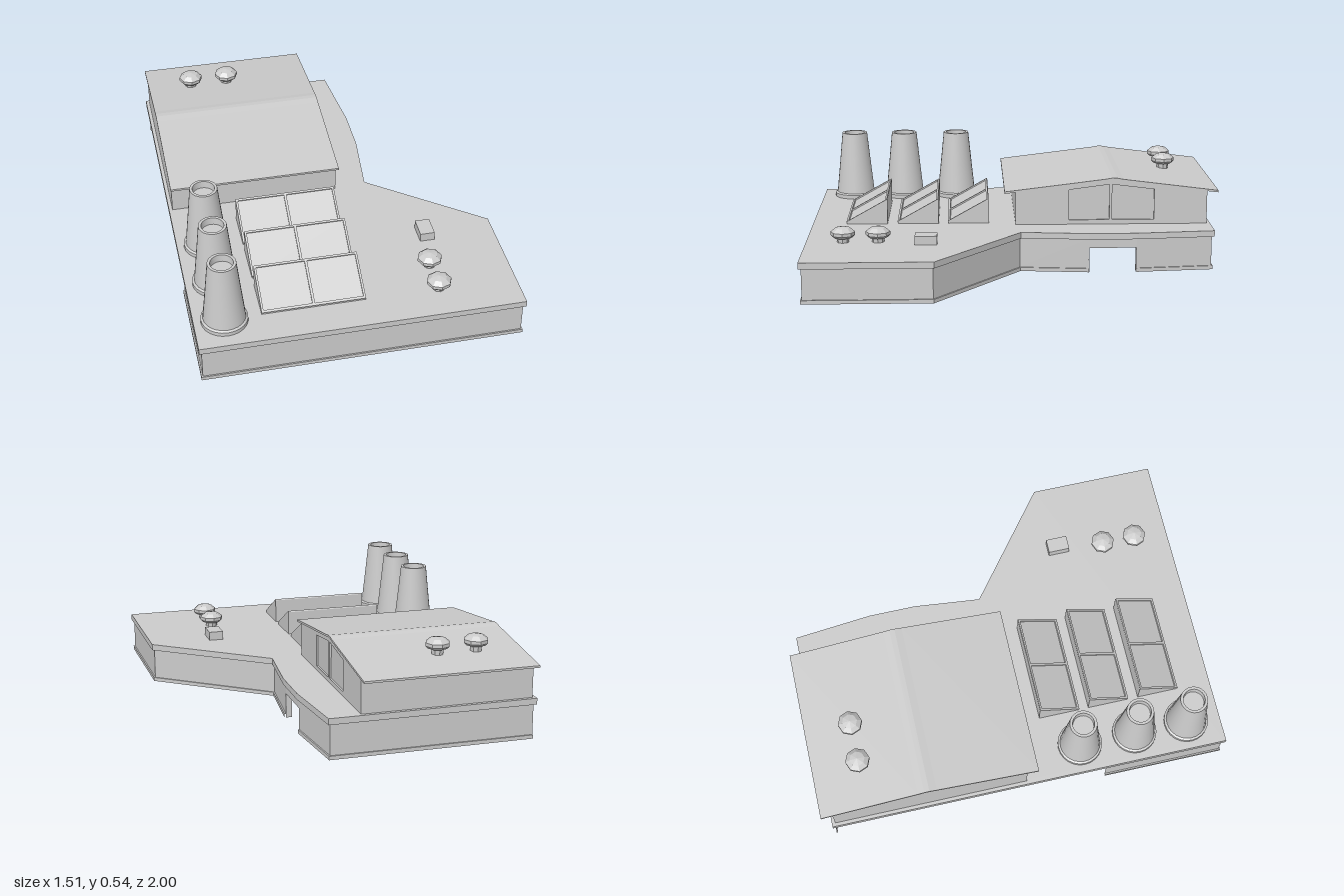
import * as THREE from 'three';
import { toCreasedNormals } from 'three/addons/utils/BufferGeometryUtils.js';

const smooth = new THREE.MeshStandardMaterial({ color: 0xcccccc, side: THREE.DoubleSide });
const flat = new THREE.MeshStandardMaterial({ color: 0xcccccc, side: THREE.DoubleSide, flatShading: true });

function add(parent, name, geometry, material = flat) {
  const mesh = new THREE.Mesh(geometry, material);
  mesh.name = name;
  parent.add(mesh);
  return mesh;
}

const polygon = (points) => new THREE.Shape(points.map(([x, y]) => new THREE.Vector2(x, y)));
const rect = (x0, y0, x1, y1) => [[x0, y0], [x1, y0], [x1, y1], [x0, y1]];

// Extrudes a side profile of [-z, y] points along x from x0 to x1.
function extrudeX(shape, x0, x1) {
  return new THREE.ExtrudeGeometry(shape, { depth: x1 - x0, bevelEnabled: false })
    .rotateY(Math.PI / 2).translate(x0, 0, 0);
}

// Sweeps a profile of [outward offset, y] along a plan path of [x, z] with mitred corners.
function sweep(path, profile, closed = false) {
  const n = path.length;
  const normal = (i) => {
    const a = path[(i + n) % n], b = path[(i + 1 + n) % n];
    return new THREE.Vector2(a[1] - b[1], b[0] - a[0]).normalize();
  };
  const mitre = path.map((p, i) => {
    const before = normal(closed || i > 0 ? i - 1 : 0);
    const after = normal(closed || i < n - 1 ? i : n - 2);
    const m = before.clone().add(after);
    return m.multiplyScalar(2 / m.lengthSq());
  });
  const point = (i, j) => {
    const [offset, y] = profile[j];
    return [path[i][0] + mitre[i].x * offset, y, path[i][1] + mitre[i].y * offset];
  };
  const positions = [];
  for (let i = 0; i < (closed ? n : n - 1); i++) {
    const k = (i + 1) % n;
    for (let j = 0; j < profile.length - 1; j++) {
      const a = point(i, j), b = point(k, j), c = point(k, j + 1), d = point(i, j + 1);
      positions.push(...a, ...b, ...c, ...a, ...c, ...d);
    }
  }
  const geometry = new THREE.BufferGeometry();
  geometry.setAttribute('position', new THREE.Float32BufferAttribute(positions, 3));
  geometry.computeVertexNormals();
  return geometry;
}

// Lower storey: walls with a skirting, an entrance, a cornice and a flat deck
function buildBase() {
  const base = new THREE.Group();
  base.name = 'base';
  const front = [[-0.745, 0.988], [0.745, 0.988], [0.745, 0.395], [0.222, -0.015], [0.257, -0.35]];
  const back = [[0.257, -0.58], [0.222, -0.95], [-0.745, -0.95]];
  const wall = [[0.007, 0], [0.007, 0.018], [0, 0.018], [0, 0.165]];
  add(base, 'frontWalls', sweep([[-0.745, 0.4], ...front], wall));
  add(base, 'backWalls', sweep(back, wall));
  add(base, 'entranceLintel', sweep([front[4], back[0]], [[0, 0.12], [0, 0.165]]));
  // Entrance reveals
  for (const z of [-0.35, -0.58]) {
    add(base, 'entranceReveal', new THREE.BoxGeometry(0.03, 0.12, 0.004)).position.set(0.242, 0.06, z);
  }
  const outline = [...front, ...back];
  add(base, 'cornice', sweep(outline, [[0, 0.165], [0.012, 0.165], [0.012, 0.195], [0, 0.195]], true));
  // The deck is open beneath the hall
  const deck = polygon(outline.map(([x, z]) => [x, -z]));
  deck.holes.push(polygon(rect(-0.735, 0.005, 0.075, 0.94)));
  add(base, 'deck', new THREE.ShapeGeometry(deck).rotateX(-Math.PI / 2).translate(0, 0.195, 0));
  return base;
}

// Upper storey: gabled hall with a large split window
function buildHall() {
  const hall = new THREE.Group();
  hall.name = 'hall';
  const gable = [[0, 0.19], [0.945, 0.19], [0.945, 0.36], [0.5, 0.417], [0.45, 0.417], [0, 0.36]];
  const windows = [
    [[0.262, 0.217], [0.462, 0.217], [0.462, 0.395], [0.262, 0.369]],
    [[0.475, 0.217], [0.683, 0.217], [0.683, 0.369], [0.475, 0.395]],
  ];
  const rightWall = polygon(gable);
  windows.forEach((w) => rightWall.holes.push(polygon(w)));
  add(hall, 'rightGable', extrudeX(rightWall, 0.068, 0.08));
  windows.forEach((w) => add(hall, 'windowPane',
    new THREE.ShapeGeometry(polygon(w)).rotateY(Math.PI / 2).translate(0.071, 0, 0)));
  add(hall, 'leftGable', extrudeX(polygon(gable), -0.74, -0.735));
  for (const z of [0, -0.945]) {
    add(hall, 'eaveWall', new THREE.PlaneGeometry(0.815, 0.17).translate(-0.3325, 0.275, z));
  }
  const roofTop = [[-0.055, 0.362], [0.44, 0.422], [0.475, 0.428], [0.5, 0.427], [0.53, 0.421], [1, 0.362]];
  const roofUnder = roofTop.map(([u, y]) => [u, y - 0.01]).reverse();
  add(hall, 'roof', extrudeX(polygon([...roofTop, ...roofUnder]), -0.747, 0.085));
  return hall;
}

// Wedge skylight: upright back, sloping front with two framed panes
function buildSkylight(z) {
  const skylight = new THREE.Group();
  skylight.name = 'skylight';
  const x0 = -0.445, x1 = 0.04, width = x1 - x0, run = 0.2, rise = 0.112;
  const wedge = [[-run, 0.188], [0, 0.188], [0, 0.2 + rise], [-run, 0.2]];
  add(skylight, 'wedge', extrudeX(polygon(wedge), x0, x1));
  const length = Math.hypot(run, rise);
  const frame = polygon(rect(0, 0, width, length));
  frame.holes.push(polygon(rect(0.01, 0.012, width / 2 - 0.006, length - 0.01)));
  frame.holes.push(polygon(rect(width / 2 + 0.006, 0.012, width - 0.01, length - 0.01)));
  const mesh = add(skylight, 'paneFrame', new THREE.ExtrudeGeometry(frame, { depth: 0.007, bevelEnabled: false }));
  mesh.position.set(x0, 0.2, run);
  mesh.rotation.x = -Math.atan2(run, rise);
  skylight.position.z = z;
  return skylight;
}

// Tapered chimney with a base collar and a recessed mouth
function buildChimney(z) {
  const profile = [[0.108, 0.188], [0.108, 0.214], [0.098, 0.22], [0.082, 0.37], [0.065, 0.535],
    [0.052, 0.535], [0.05, 0.5], [0, 0.5]].map(([r, y]) => new THREE.Vector2(r, y));
  const chimney = new THREE.Group();
  chimney.name = 'chimney';
  add(chimney, 'stack', toCreasedNormals(new THREE.LatheGeometry(profile, 24), 0.5), smooth);
  chimney.position.set(-0.615, 0, z);
  return chimney;
}

// Eight-sided mushroom vent, with its cap base at the local origin
function buildVent(x, y, z) {
  const profile = [[0.026, -0.07], [0.03, 0], [0.046, 0], [0.058, 0.012], [0.058, 0.028],
    [0.036, 0.046], [0, 0.053]].map(([r, h]) => new THREE.Vector2(r, h));
  const vent = new THREE.Group();
  vent.name = 'vent';
  add(vent, 'mushroomCap', new THREE.LatheGeometry(profile, 8));
  vent.position.set(x, y, z);
  return vent;
}

export function createModel() {
  const model = new THREE.Group();
  model.name = 'industrialBuilding';
  model.add(buildBase(), buildHall());
  for (const z of [0.132, 0.38, 0.632]) model.add(buildSkylight(z));
  for (const z of [0.295, 0.57, 0.832]) model.add(buildChimney(z));
  for (const z of [0.66, 0.825]) model.add(buildVent(0.387, 0.218, z));
  for (const x of [-0.527, -0.34]) model.add(buildVent(x, 0.416, -0.775));
  // Small rooftop unit
  add(model, 'rooftopUnit', new THREE.BoxGeometry(0.07, 0.045, 0.105)).position.set(0.425, 0.215, 0.433);
  return model;
}
